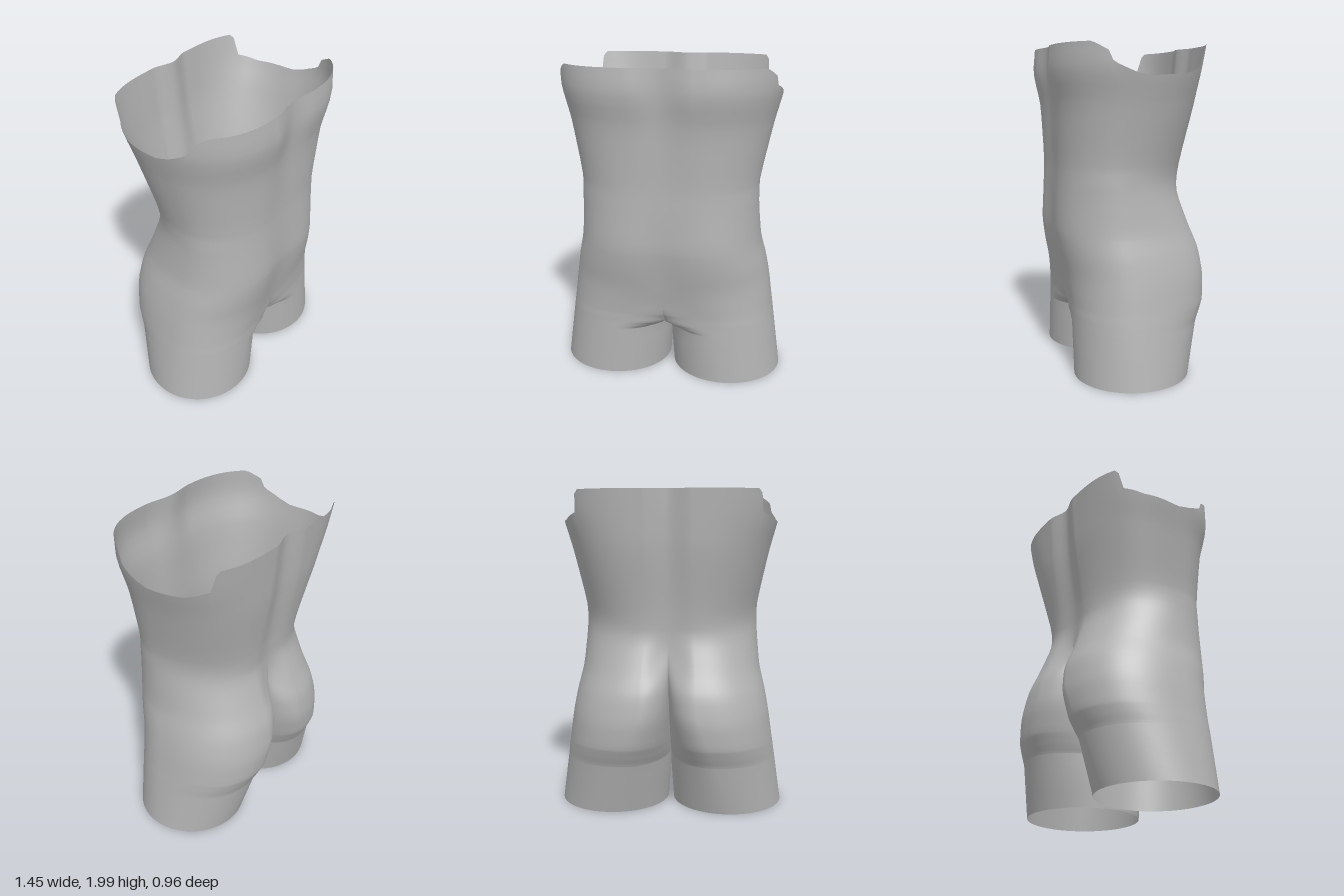
import * as THREE from 'three';
import { mergeGeometries, mergeVertices } from 'three/addons/utils/BufferGeometryUtils.js';

const { lerp, smoothstep, clamp } = THREE.MathUtils;

// Body profile by height: y, half width, front peak z, front midline z, back peak z, back midline z
const LEVELS = [
  [0.01, 0.725, 0.37, 0.03, -0.335, 0.03],
  [0.325, 0.68, 0.37, 0.03, -0.41, 0.03],
  [0.345, 0.677, 0.37, 0.17, -0.418, 0.01],
  [0.38, 0.672, 0.37, 0.29, -0.435, -0.03],
  [0.45, 0.661, 0.372, 0.35, -0.466, -0.09],
  [0.6, 0.64, 0.39, 0.38, -0.482, -0.2],
  [0.77, 0.61, 0.425, 0.41, -0.46, -0.29],
  [0.9, 0.577, 0.443, 0.43, -0.405, -0.325],
  [1.12, 0.56, 0.433, 0.428, -0.328, -0.315],
  [1.3, 0.556, 0.426, 0.422, -0.348, -0.33],
  [1.65, 0.627, 0.44, 0.425, -0.412, -0.38],
  [1.85, 0.68, 0.482, 0.445, -0.432, -0.4],
  [2, 0.69, 0.465, 0.44, -0.447, -0.41],
];

// Section character by height: y, widest z, front peak x, back peak x, front and back squareness
const SHAPE = [
  [0.01, 0.03, 0.37, 0.37, 2, 2],
  [0.4, 0.03, 0.3, 0.27, 2.1, 2.2],
  [0.65, 0.04, 0.2, 0.18, 2.1, 2.4],
  [1.2, 0.12, 0.18, 0.15, 2, 1.9],
  [1.7, 0.04, 0.19, 0.15, 2.2, 2.4],
  [2, 0, 0.2, 0.15, 2.4, 2.9],
];

// Ragged upper rim: z, height
const RIM = [[-0.355, 2], [-0.34, 1.87], [-0.24, 1.83], [0, 1.815], [0.1, 1.84],
  [0.215, 1.89], [0.225, 1.94], [0.33, 2]];

const STEPS = 24; // columns per quarter of a half section
const COLUMNS = STEPS * 4;
const CROTCH = 0.34;
const RIM_BASE = 1.65;

// Linear lookup of a row in a table sorted by its first column
function lookup(table, key) {
  let i = 1;
  while (i < table.length - 1 && key > table[i][0]) i++;
  const a = table[i - 1], b = table[i];
  const t = clamp((key - a[0]) / (b[0] - a[0]), 0, 1);
  return a.map((v, k) => lerp(v, b[k], t));
}

// Profile softened across levels above the crotch
function profile(y) {
  const d = 0.05 * smoothstep(y, 0.4, 0.6) * (1 - smoothstep(y, 1.8, 1.95));
  const below = lookup(LEVELS, y - d), above = lookup(LEVELS, y + d);
  return lookup(LEVELS, y).map((v, k) => v / 2 + (below[k] + above[k]) / 4);
}

// Point on the half section: front midline, front peak, side, back peak, back midline
function sectionPoint(y, column) {
  const [, width, zFront, zFrontMid, zBack, zBackMid] = profile(y);
  const [, zSide, xFront, xBack, nFront, nBack] = lookup(SHAPE, y);
  const gap = y < CROTCH ? Math.max(0.001, 0.018 * (1 - y / 0.25)) : 0;

  const quarter = Math.min(3, Math.floor(column / STEPS));
  const angle = (column / STEPS - quarter) * Math.PI / 2;
  const c = Math.max(0, Math.cos(angle)), s = Math.sin(angle);

  // Inner quarter: round in thighs and cleft, a soft valley elsewhere
  const inner = (x, zPeak, zMid, sin, cos, round) => {
    const u = 1 - cos;
    return [gap + (x - gap) * u, y, lerp(zMid, zPeak, lerp(u * u * (3 - 2 * u), sin, round))];
  };
  const outer = (x, zPeak, sin, cos, n) => [
    x + (width - x) * sin ** (2 / n), y, zSide + (zPeak - zSide) * cos ** (2 / n)];

  if (quarter === 0) return inner(xFront, zFront, zFrontMid, s, c, 1 - smoothstep(y, 0.36, 0.55));
  if (quarter === 1) return outer(xFront, zFront, s, c, nFront);
  if (quarter === 2) return outer(xBack, zBack, c, s, nBack);
  return inner(xBack, zBack, zBackMid, c, s, 1 - smoothstep(y, 0.8, 1.05));
}

// One side of the body, from leg opening to rim
function halfBody(side) {
  const rows = [];
  LEVELS.slice(1, 11).forEach(([y], i) => {
    const below = LEVELS[i][0];
    for (let k = 0; k < 4; k++) rows.push(lerp(below, y, k / 4));
  });
  for (let i = 0; i <= 6; i++) rows.push(lerp(RIM_BASE, 2, i / 6));

  const positions = [], indices = [];
  rows.forEach(row => {
    for (let j = 0; j <= COLUMNS; j++) {
      let y = row;
      if (row > RIM_BASE) {
        const top = lookup(RIM, sectionPoint(1.9, j)[2])[1];
        y = lerp(RIM_BASE, top, (row - RIM_BASE) / (2 - RIM_BASE));
      }
      const [px, py, pz] = sectionPoint(y, j);
      positions.push(px * side, py, pz);
    }
  });

  const stride = COLUMNS + 1;
  for (let i = 0; i < rows.length - 1; i++) {
    for (let j = 0; j < COLUMNS; j++) {
      const a = i * stride + j, b = a + 1, c = a + stride, d = c + 1;
      if (side > 0) indices.push(a, b, d, a, d, c);
      else indices.push(a, d, b, a, c, d);
    }
  }
  const geometry = new THREE.BufferGeometry();
  geometry.setAttribute('position', new THREE.Float32BufferAttribute(positions, 3));
  geometry.setIndex(indices);
  return geometry;
}

export function createModel() {
  const group = new THREE.Group();
  group.name = 'torso';
  const material = new THREE.MeshStandardMaterial({ color: 0xb4b4b4, side: THREE.DoubleSide });
  material.name = 'plain grey';

  // Both halves are welded along the midline into a smooth open shell
  const shell = mergeVertices(mergeGeometries([halfBody(1), halfBody(-1)]), 1e-4);
  shell.computeVertexNormals();
  const mesh = new THREE.Mesh(shell, material);
  mesh.name = 'bodyShell';
  group.add(mesh);
  return group;
}
